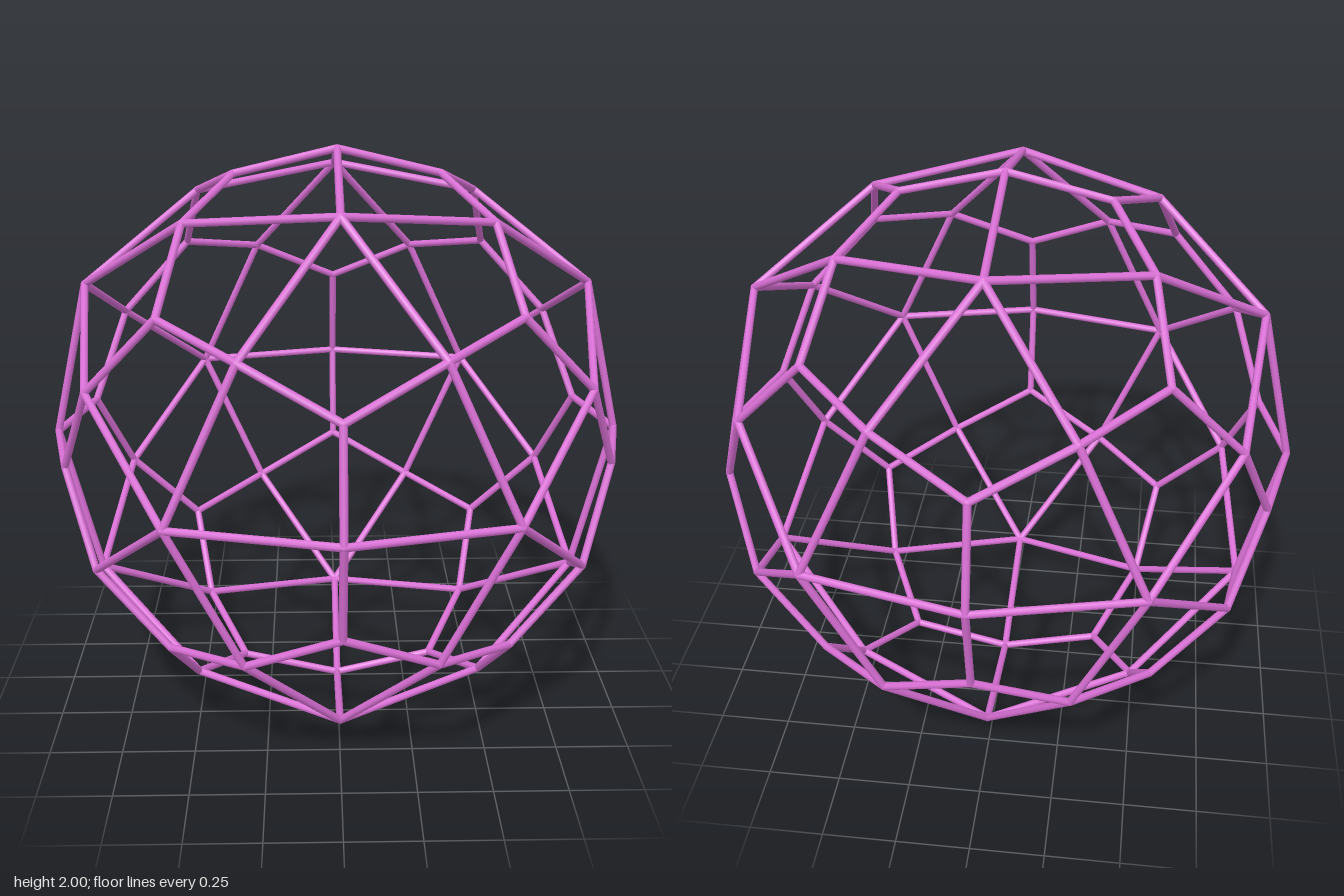
import * as THREE from 'three';

const PHI = (1 + Math.sqrt(5)) / 2;
const BAR = 0.013; // bar radius
// distance from the centre to the four-way, five-way and three-way corners
const R4 = 0.986, R5 = R4 * 1.0259, R3 = R4 * 0.9819;

// All sign changes and cyclic permutations of a point, scaled to a radius
function orbit(point, radius) {
  const found = new Map();
  for (let turn = 0; turn < 3; turn++) {
    for (let s = 0; s < 8; s++) {
      const p = point.map((c, i) => (s & (1 << i) ? -c : c));
      const v = new THREE.Vector3(p[turn], p[(turn + 1) % 3], p[(turn + 2) % 3]).setLength(radius);
      found.set(v.toArray().map((c) => Math.round(c * 1000) + 0).join(), v);
    }
  }
  return [...found.values()];
}

export function createModel() {
  const model = new THREE.Group();
  model.name = 'kiteFacedWireframe';
  const material = new THREE.MeshStandardMaterial({ color: 0xda70d6 });

  // Corners of the sixty-kite polyhedron
  const fourWay = [...orbit([0, 0, 1], R4), ...orbit([1, PHI, PHI * PHI], R4)];
  const fiveWay = orbit([1, 0, PHI], R5);
  const threeWay = [...orbit([1, 1, 1], R3), ...orbit([0, 1 / PHI, PHI], R3)];

  // Bars: every edge joins a four-way corner to a close five- or three-way one
  const bars = new THREE.Group();
  bars.name = 'edgeBars';
  const up = new THREE.Vector3(0, 1, 0);
  for (const a of fourWay) {
    for (const b of [...fiveWay, ...threeWay]) {
      if (a.angleTo(b) > 0.65) continue;
      const along = b.clone().sub(a);
      const bar = new THREE.Mesh(new THREE.CylinderGeometry(BAR, BAR, along.length(), 8, 1), material);
      bar.name = 'edgeBar';
      bar.position.copy(a).add(b).multiplyScalar(0.5);
      bar.quaternion.setFromUnitVectors(up, along.normalize());
      bars.add(bar);
    }
  }

  // Small rounded joints closing the bar ends
  const joints = new THREE.Group();
  joints.name = 'cornerJoints';
  const ball = new THREE.SphereGeometry(BAR, 10, 8);
  for (const corner of [...fourWay, ...fiveWay, ...threeWay]) {
    const joint = new THREE.Mesh(ball, material);
    joint.name = 'cornerJoint';
    joint.position.copy(corner);
    joints.add(joint);
  }

  model.add(bars, joints);
  bars.position.y = joints.position.y = 1;
  return model;
}
